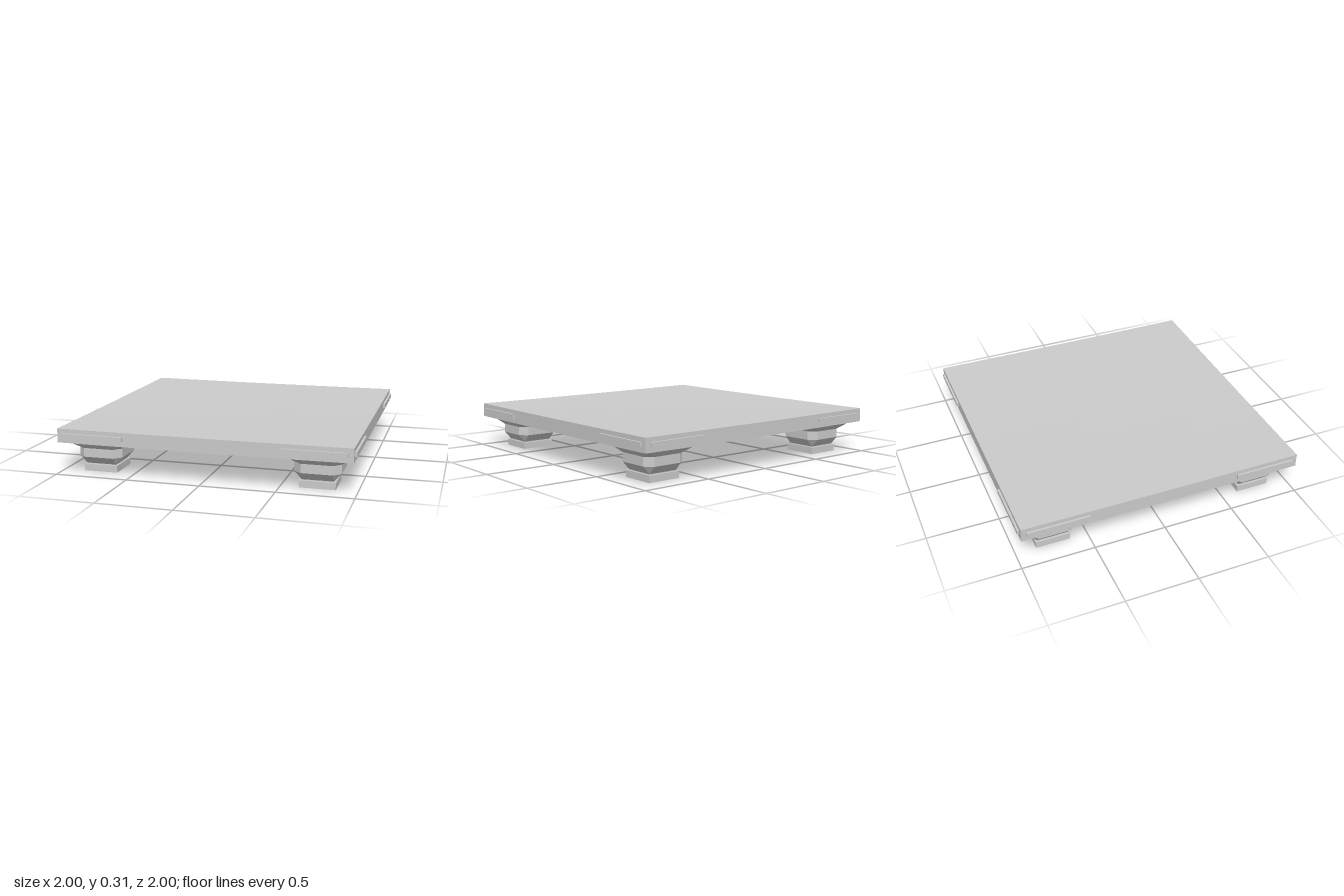
import * as THREE from 'three';

const material = new THREE.MeshStandardMaterial({ color: 0xcccccc, flatShading: true });

function addMesh(parent, geometry, name, x = 0, y = 0, z = 0) {
  const mesh = new THREE.Mesh(geometry, material);
  mesh.name = name;
  mesh.position.set(x, y, z);
  parent.add(mesh);
  return mesh;
}

// Square ring of eight points with its corners cut back
function ring(half, cut, y) {
  const c = half - cut;
  return [[half, c], [c, half], [-c, half], [-half, c], [-half, -c], [-c, -half], [c, -half], [half, -c]]
    .map(([x, z]) => [x, y, z]);
}

// Skin between successive rings, from bottom to top
function loft(rings) {
  const index = [];
  for (let r = 0; r < rings.length - 1; r++) {
    for (let i = 0; i < 8; i++) {
      const a = r * 8 + i, b = r * 8 + (i + 1) % 8;
      index.push(a, a + 8, b, b, a + 8, b + 8);
    }
  }
  const geometry = new THREE.BufferGeometry();
  geometry.setAttribute('position', new THREE.Float32BufferAttribute(rings.flat(2), 3));
  geometry.setIndex(index);
  geometry.computeVertexNormals();
  return geometry;
}

// Flat slab that sags very slightly towards the middle
function slabGeometry() {
  const geometry = new THREE.BoxGeometry(1.972, 0.095, 1.972, 8, 1, 8);
  const p = geometry.attributes.position;
  for (let i = 0; i < p.count; i++) {
    const x = p.getX(i) / 0.986, z = p.getZ(i) / 0.986;
    p.setY(i, p.getY(i) - 0.003 * (2 - x * x - z * z));
  }
  geometry.computeVertexNormals();
  return geometry;
}

// Square foot with a recess in its underside, below a flared block
function createLeg() {
  const leg = new THREE.Group();
  const foot = loft([
    ring(0.04, 0, 0.02), ring(0.068, 0, 0), ring(0.118, 0, 0),
    ring(0.118, 0, 0.047), ring(0.1, 0, 0.047),
  ]);
  addMesh(leg, foot, 'foot');
  const recess = new THREE.PlaneGeometry(0.08, 0.08).rotateX(Math.PI / 2);
  addMesh(leg, recess, 'footRecess', 0, 0.02, 0);
  const block = loft([
    ring(0.105, 0, 0.045), ring(0.105, 0, 0.052), ring(0.153, 0.05, 0.105),
    ring(0.153, 0.05, 0.166), ring(0.202, 0, 0.218),
  ]);
  addMesh(leg, block, 'legBlock');
  return leg;
}

export function createModel() {
  const model = new THREE.Group();
  model.name = 'lowPlatform';
  addMesh(model, slabGeometry(), 'slab', 0, 0.265, 0);

  // Four legs, one near each corner
  for (const sx of [-1, 1]) {
    for (const sz of [-1, 1]) {
      const leg = createLeg();
      leg.name = (sz > 0 ? 'front' : 'back') + (sx > 0 ? 'Left' : 'Right') + 'Leg';
      leg.position.set(sx * 0.74, 0, sz * 0.74);
      model.add(leg);
    }
  }

  // Two raised strips on every edge of the slab
  const strip = new THREE.BoxGeometry(0.424, 0.03, 0.03);
  ['front', 'left', 'back', 'right'].forEach((side, i) => {
    const edge = new THREE.Group();
    edge.name = side + 'EdgeStrips';
    edge.rotation.y = i * Math.PI / 2;
    for (const s of [-1, 1]) addMesh(edge, strip, 'edgeStrip', s * 0.739, 0.267, 0.985);
    model.add(edge);
  });
  return model;
}
